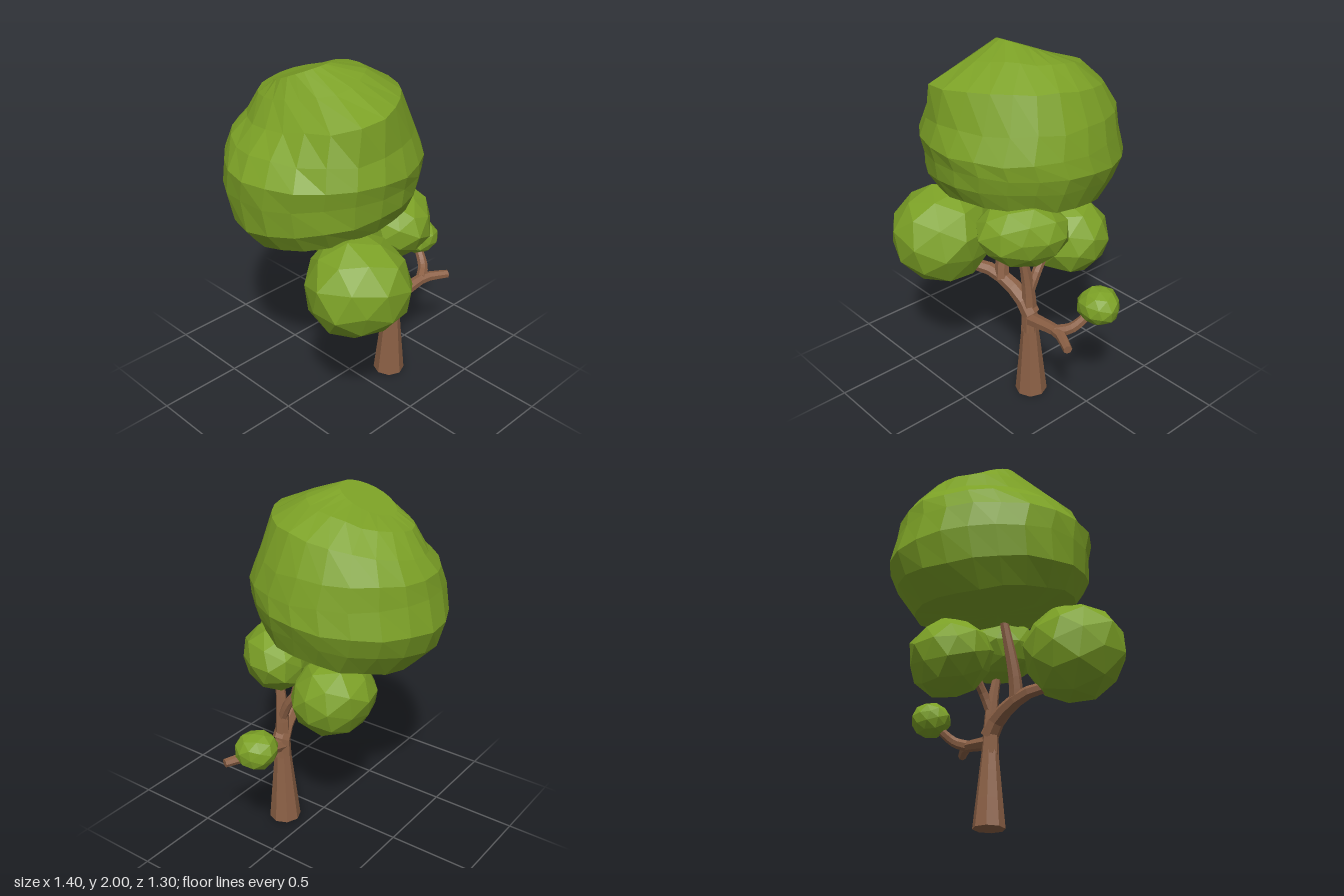
import * as THREE from 'three';

// repeatable value in -1..1 from a position
const noise = (x, y, z) => {
  const s = Math.sin(Math.round(x * 50) * 12.99 + Math.round(y * 50) * 78.23 + Math.round(z * 50) * 37.72) * 43758.55;
  return 2 * (s - Math.floor(s)) - 1;
};

// faceted skin over a list of rings, closed at both ends
function loft(rings) {
  const pos = [];
  const n = rings[0].length;
  const tri = (...pts) => pts.forEach((p) => pos.push(p.x, p.y, p.z));
  const middle = (ring) => ring.reduce((s, p) => s.add(p), new THREE.Vector3()).divideScalar(n);
  const first = rings[0], last = rings[rings.length - 1];
  const start = middle(first), end = middle(last);
  for (let i = 0; i < n; i++) {
    const k = (i + 1) % n;
    tri(start, first[k], first[i]);
    tri(end, last[i], last[k]);
    for (let r = 0; r < rings.length - 1; r++) {
      const a = rings[r], b = rings[r + 1];
      tri(a[i], a[k], b[i]);
      tri(a[k], b[k], b[i]);
    }
  }
  const g = new THREE.BufferGeometry();
  g.setAttribute('position', new THREE.Float32BufferAttribute(pos, 3));
  g.computeVertexNormals();
  return g;
}

// tapered limb along a smooth path
function limb(points, r0, r1, sides = 7, steps = 7) {
  const curve = new THREE.CatmullRomCurve3(points.map((p) => new THREE.Vector3(...p)));
  const { normals, binormals } = curve.computeFrenetFrames(steps);
  const rings = [];
  for (let s = 0; s <= steps; s++) {
    const r = THREE.MathUtils.lerp(r0, r1, s / steps);
    const c = curve.getPointAt(s / steps);
    rings.push(Array.from({ length: sides }, (_, i) => {
      const a = (i / sides) * Math.PI * 2;
      return c.clone().addScaledVector(normals[s], r * Math.cos(a)).addScaledVector(binormals[s], r * Math.sin(a));
    }));
  }
  return loft(rings);
}

// lumpy faceted ball of leaves, yaw turns the stretched ball
function leafBall([x, y, z], [rx, ry, rz], turn, yaw = 0) {
  const g = new THREE.IcosahedronGeometry(1, 1);
  const p = g.attributes.position;
  for (let i = 0; i < p.count; i++) {
    const k = 0.99 + 0.06 * noise(p.getX(i), p.getY(i), p.getZ(i));
    p.setXYZ(i, p.getX(i) * k, p.getY(i) * k, p.getZ(i) * k);
  }
  g.rotateY(turn).rotateZ(turn * 0.6).scale(rx, ry, rz).rotateY(yaw).translate(x, y, z);
  g.computeVertexNormals();
  return g;
}

// big crown: leaning rings from top to underside
function crown() {
  // y, xMin, xMax, zMin, zMax, slope along x, slope along z, front corner bulge, back corner flattening
  const spec = [
    [1.93, -0.34, -0.05, -0.30, 0.01, 0.04, 0.42, 0, 0],
    [1.87, -0.41, 0.13, -0.43, 0.16, 0.14, 0.18, 0.06, 0],
    [1.76, -0.50, 0.28, -0.53, 0.34, 0.13, 0.14, 0.12, 0.01],
    [1.62, -0.62, 0.36, -0.60, 0.42, 0.03, 0.02, 0.05, 0.03],
    [1.50, -0.70, 0.39, -0.62, 0.49, 0, 0, 0, 0.04],
    [1.38, -0.70, 0.41, -0.66, 0.47, 0.02, 0.07, 0, 0.05],
    [1.25, -0.68, 0.38, -0.61, 0.46, 0.09, 0.12, 0, 0.05],
    [1.13, -0.59, 0.33, -0.49, 0.40, 0.10, 0.17, 0, 0.03],
    [1.11, -0.38, 0.12, -0.28, 0.22, 0.08, 0.15, 0, 0],
  ];
  const n = 22;
  return loft(spec.map(([y, x0, x1, z0, z1, kx, kz, bulge, flat], r) =>
    Array.from({ length: n }, (_, i) => {
      const a = (i / n) * Math.PI * 2;
      const wob = r > 0 ? 1 + 0.008 * noise(i, r, 3) : 1;
      const push = bulge * Math.max(0, Math.cos(a - 1.97)) ** 8 - flat * Math.max(0, Math.cos(a - 3.93)) ** 4;
      const dx = ((x1 - x0) / 2 * wob + push) * Math.cos(a);
      const dz = ((z1 - z0) / 2 * wob + push) * Math.sin(a);
      return new THREE.Vector3(
        (x0 + x1) / 2 + dx,
        y + kx * dx + kz * dz + (r > 0 ? 0.008 * noise(i, r, 8) : 0),
        (z0 + z1) / 2 + dz);
    })));
}

export function createModel() {
  const tree = new THREE.Group();
  tree.name = 'tree';
  const bark = new THREE.MeshStandardMaterial({ color: 0x8b6045 });
  bark.name = 'bark brown';
  const leaf = new THREE.MeshStandardMaterial({ color: 0x7ca126 });
  leaf.name = 'leaf green';
  const add = (name, geometry, material) => {
    const mesh = new THREE.Mesh(geometry, material);
    mesh.name = name;
    tree.add(mesh);
  };

  // trunk and branches
  add('trunk', limb([[0.19, 0, 0.15], [0.19, 0.25, 0.155], [0.19, 0.48, 0.16]], 0.092, 0.044, 8, 3), bark);
  add('centreBranch', limb([[0.19, 0.42, 0.16], [0.18, 0.7, 0.165], [0.16, 0.95, 0.2]], 0.052, 0.022), bark);
  add('backBranch', limb([[0.185, 0.66, 0.165], [0.19, 0.78, 0.11], [0.17, 0.92, 0]], 0.03, 0.024), bark);
  add('longBranch', limb([[0.2, 0.53, 0.16], [0.14, 0.615, 0.17], [0.04, 0.675, 0.185], [-0.06, 0.72, 0.215], [-0.17, 0.745, 0.28], [-0.3, 0.8, 0.36]], 0.054, 0.026), bark);
  add('upperBranch', limb([[0, 0.69, 0.2], [-0.015, 0.82, 0.18], [-0.02, 1.16, 0.1]], 0.044, 0.025), bark);
  add('sideBranch', limb([[0.18, 0.49, 0.16], [0.3, 0.515, 0.17], [0.45, 0.54, 0.185], [0.59, 0.535, 0.25]], 0.044, 0.025), bark);
  add('sideTwig', limb([[0.43, 0.54, 0.18], [0.5, 0.575, 0.13], [0.55, 0.66, 0.04]], 0.034, 0.025), bark);

  // foliage
  add('crown', crown(), leaf);
  add('frontFoliage', leafBall([-0.315, 0.923, 0.375], [0.295, 0.288, 0.29], 0.4), leaf);
  add('middleFoliage', leafBall([0.165, 1.06, 0.2], [0.26, 0.195, 0.2], 1.1, Math.PI / 4), leaf);
  add('backFoliage', leafBall([0.125, 0.905, -0.165], [0.265, 0.225, 0.235], 2), leaf);
  add('smallFoliage', leafBall([0.582, 0.71, 0.015], [0.122, 0.107, 0.118], 0.8), leaf);

  return tree;
}
